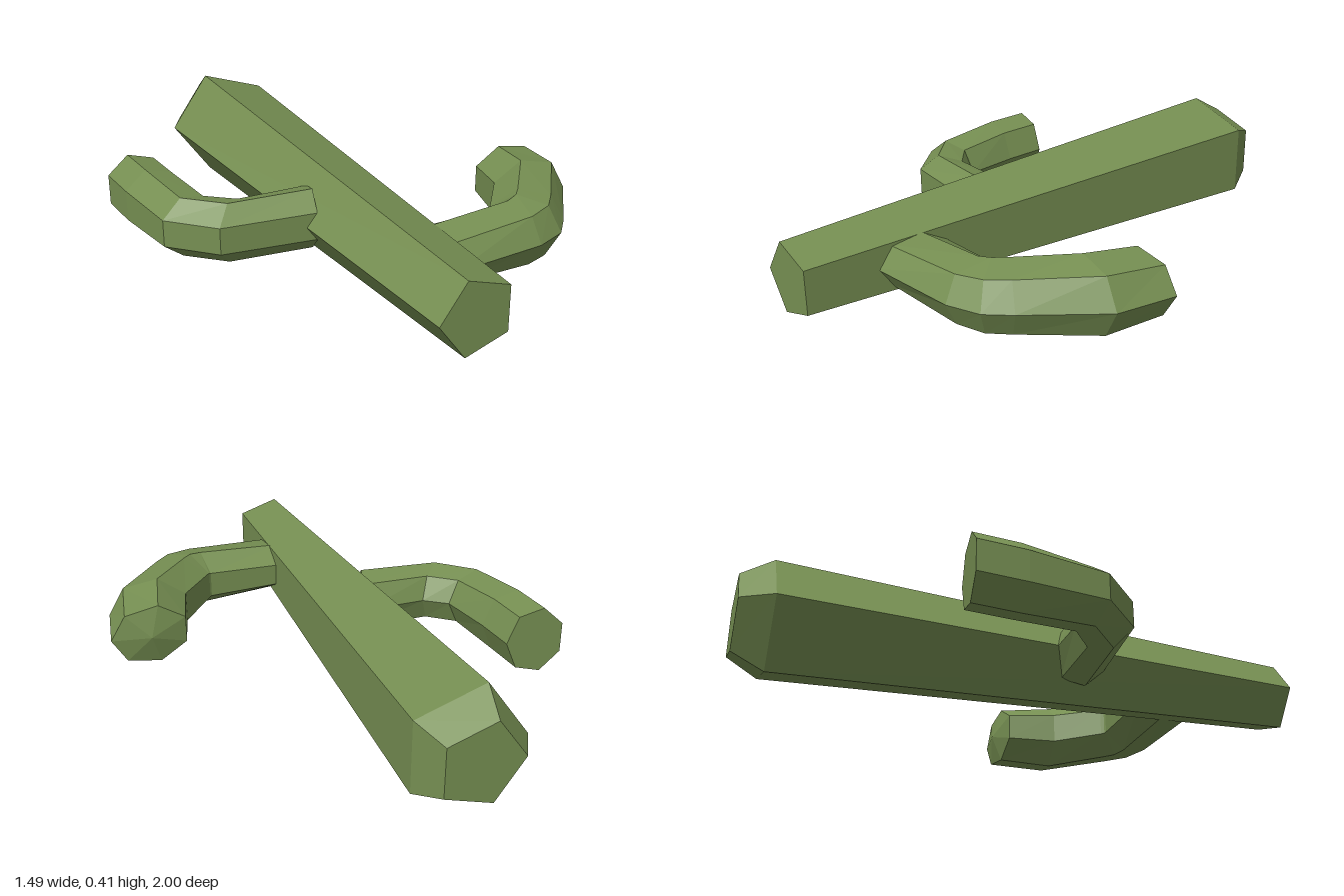
import * as THREE from 'three';

const MID_Y = 0.205;

// Lofts odd-sided rings. Each ring is [ax, az, bx, bz, halfHeight]: a is the
// pointed side of the polygon and b the middle of the flat side opposite.
// dome is an optional [x, z] for a raised centre of the last cap.
function loft(name, sides, rings, material, dome) {
  const points = rings.map(([ax, az, bx, bz, h]) =>
    Array.from({ length: sides }, (_, j) => {
      const angle = (j / sides) * Math.PI * 2;
      const t = (1 - Math.cos(angle)) / (1 + Math.cos(Math.PI / sides));
      const y = MID_Y + (h * Math.sin(angle)) / Math.cos(Math.PI / (2 * sides));
      return new THREE.Vector3(ax + (bx - ax) * t, y, az + (bz - az) * t);
    }));
  const centre = (ring) => ring
    .reduce((sum, p) => sum.add(p), new THREE.Vector3())
    .divideScalar(sides);
  const last = points.length - 1;
  const startCentre = centre(points[0]);
  const endCentre = dome ? new THREE.Vector3(dome[0], MID_Y, dome[1]) : centre(points[last]);

  const triangles = [];
  for (let j = 0; j < sides; j++) {
    const k = (j + 1) % sides;
    triangles.push(startCentre, points[0][j], points[0][k]);
    for (let i = 0; i < last; i++) {
      const p = points[i], q = points[i + 1];
      triangles.push(p[j], q[j], q[k], p[j], q[k], p[k]);
    }
    triangles.push(endCentre, points[last][k], points[last][j]);
  }
  const geometry = new THREE.BufferGeometry().setFromPoints(triangles);
  geometry.computeVertexNormals(); // unshared corners give flat facets
  const mesh = new THREE.Mesh(geometry, material);
  mesh.name = name;
  return mesh;
}

export function createModel() {
  const group = new THREE.Group();
  group.name = 'cactus';
  const green = new THREE.MeshStandardMaterial({ color: 0x768f52 });
  green.name = 'cactus green';

  // Five-sided trunk lying along z, with a bevelled crown at the back
  group.add(loft('trunk', 5, [
    [-0.252, -1, 0.014, -1, 0.14],
    [-0.315, -0.89, 0.068, -0.89, 0.203],
    [-0.235, 1, 0.002, 1, 0.123],
  ], green));

  // Long arm: ridge on the outside of the bend
  group.add(loft('leftArm', 7, [
    [-0.01, 0.745, -0.01, 0.49, 0.088],
    [0.335, 0.715, 0.285, 0.488, 0.106],
    [0.45, 0.67, 0.292, 0.484, 0.112],
    [0.52, 0.595, 0.302, 0.474, 0.114],
    [0.705, 0.36, 0.425, 0.325, 0.125],
    [0.74, 0.145, 0.47, 0.15, 0.108],
  ], green, [0.6, 0.12]));

  // Short arm: ridge on the inside of the bend
  group.add(loft('rightArm', 7, [
    [-0.19, 0.065, -0.23, 0.25, 0.108],
    [-0.42, 0.065, -0.56, 0.21, 0.105],
    [-0.5, 0.005, -0.7, 0.065, 0.105],
    [-0.53, -0.2, -0.735, -0.21, 0.122],
    [-0.54, -0.36, -0.745, -0.38, 0.122],
  ], green));

  return group;
}
